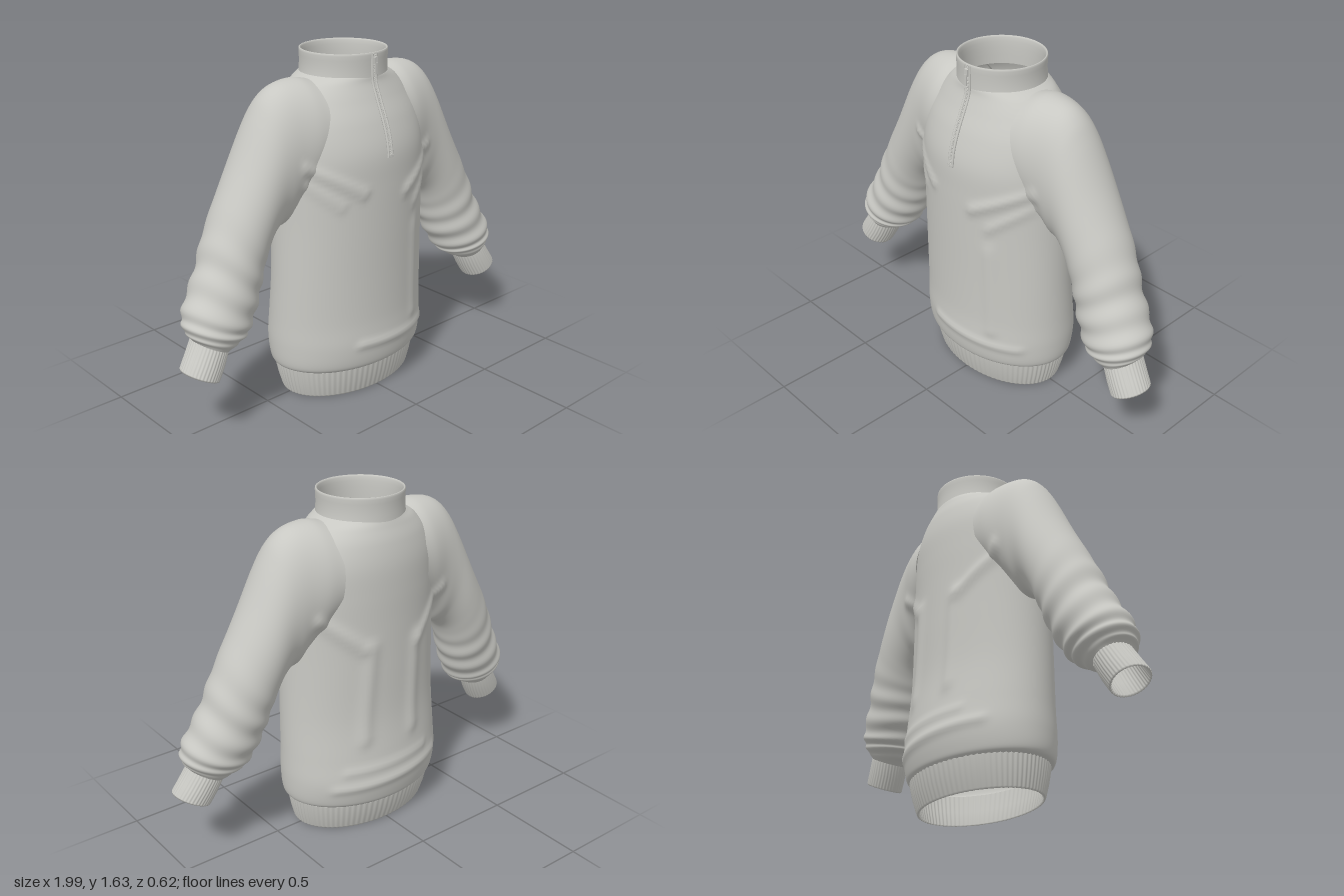
import * as THREE from 'three';
import { mergeGeometries } from 'three/addons/utils/BufferGeometryUtils.js';

const knit = new THREE.MeshStandardMaterial({ color: 0xc8c8c3, side: THREE.DoubleSide });
knit.name = 'greyKnit';

// Skin closed oval rings: [centre x, y, z, half-axis x, half-axis y, half-depth in z].
// steps = spline subdivisions between rings, swell(t, a) scales the ring locally.
function loft(rings, seg, steps, swell = () => 1) {
  const centres = new THREE.CatmullRomCurve3(rings.map(r => new THREE.Vector3(r[0], r[1], r[2])), false, 'catmullrom');
  const axes = new THREE.CatmullRomCurve3(rings.map(r => new THREE.Vector3(r[3], r[4], r[5])), false, 'catmullrom');
  const rows = (rings.length - 1) * steps, pos = [], idx = [];
  for (let i = 0; i <= rows; i++) {
    const c = centres.getPoint(i / rows), u = axes.getPoint(i / rows);
    for (let j = 0; j < seg; j++) {
      const a = j / seg * Math.PI * 2, s = swell(i / steps, a);
      const co = Math.cos(a) * s, si = Math.sin(a) * s;
      pos.push(c.x + u.x * co, c.y + u.y * co, c.z + u.z * si);
      if (i < rows) {
        const p = i * seg + j, q = i * seg + (j + 1) % seg;
        idx.push(p, p + seg, q, q, p + seg, q + seg);
      }
    }
  }
  const g = new THREE.BufferGeometry();
  g.setAttribute('position', new THREE.Float32BufferAttribute(pos, 3));
  g.setIndex(idx);
  g.computeVertexNormals();
  return g;
}

// Cloth folds: [front 1 / back -1, x1, y1, x2, y2, width, height]
const folds = [
  [1, -0.38, 1.17, -0.14, 1.03, 0.022, 0.013], [1, 0.38, 1.13, 0.12, 1.0, 0.025, 0.014],
  [1, 0.36, 1.04, 0.2, 0.92, 0.022, 0.01], [1, -0.36, 1.08, -0.24, 0.98, 0.02, 0.009],
  [1, 0.21, 0.35, 0.2, 0.8, 0.03, 0.009], [1, -0.15, 0.28, 0.33, 0.26, 0.02, 0.01],
  [-1, -0.36, 1.12, -0.16, 0.94, 0.028, 0.014], [-1, 0.36, 1.12, 0.16, 0.96, 0.028, 0.014],
  [-1, -0.14, 0.95, -0.12, 0.5, 0.035, 0.012], [-1, 0.12, 0.95, 0.16, 0.5, 0.035, 0.012],
  [-1, -0.3, 0.29, 0.3, 0.25, 0.022, 0.01], [-1, -0.2, 0.36, 0.25, 0.34, 0.02, 0.007],
];
function addFolds(g) {
  const p = g.attributes.position, v = new THREE.Vector3(), near = new THREE.Vector3();
  const line = new THREE.Line3();
  for (let i = 0; i < p.count; i++) {
    const z = p.getZ(i);
    let dz = 0;
    for (const [side, x1, y1, x2, y2, w, h] of folds) {
      if (side * z < 0.05) continue;
      line.start.set(x1, y1, 0);
      line.end.set(x2, y2, 0);
      v.set(p.getX(i), p.getY(i), 0);
      line.closestPointToPoint(v, true, near);
      dz += side * h * Math.exp(-((v.distanceTo(near) / w) ** 2));
    }
    p.setZ(i, z + dz);
  }
  g.computeVertexNormals();
  return g;
}

// Upright ring from height, half-width, front z and back z
const level = (y, w, front, back) => [0, y, (front + back) / 2, w, 0, (front - back) / 2];
const ribs = (n, depth) => (t, a) => 1 + depth * Math.cos(n * a);

export function createModel() {
  const model = new THREE.Group();
  model.name = 'sweater';
  const add = (name, geometry, parent = model) => {
    const m = new THREE.Mesh(geometry, knit);
    m.name = name;
    parent.add(m);
    return m;
  };

  // Torso, from the hem seam up to the neck seam
  add('torso', addFolds(loft([
    level(0.14, 0.39, 0.262, -0.265), level(0.17, 0.418, 0.288, -0.283), level(0.27, 0.426, 0.3, -0.3),
    level(0.4, 0.422, 0.294, -0.286), level(0.6, 0.415, 0.294, -0.266), level(0.85, 0.408, 0.298, -0.264),
    level(1.05, 0.405, 0.3, -0.265), level(1.2, 0.4, 0.296, -0.267), level(1.33, 0.38, 0.262, -0.264),
    level(1.43, 0.33, 0.22, -0.247), level(1.495, 0.27, 0.194, -0.225), level(1.525, 0.22, 0.188, -0.214),
    level(1.535, 0.2, 0.184, -0.21),
  ], 128, 8)));

  // Ribbed hem with an inner wall
  add('hemBand', loft([
    level(0.15, 0.392, 0.262, -0.265), level(0.14, 0.395, 0.265, -0.268), level(0.07, 0.382, 0.252, -0.25),
    level(0.008, 0.366, 0.236, -0.228), level(0, 0.36, 0.231, -0.223), level(0.004, 0.352, 0.223, -0.215),
    level(0.07, 0.365, 0.236, -0.234), level(0.15, 0.38, 0.25, -0.252),
  ].reverse(), 400, 1, ribs(80, 0.006)));

  // Stand-up collar, folded over at the top, with a raised neck seam
  add('collar', loft([
    level(1.505, 0.213, 0.19, -0.217), level(1.53, 0.206, 0.188, -0.215), level(1.58, 0.202, 0.188, -0.213),
    level(1.625, 0.204, 0.19, -0.215), level(1.635, 0.2, 0.186, -0.211), level(1.627, 0.193, 0.178, -0.204),
    level(1.58, 0.19, 0.175, -0.201), level(1.5, 0.192, 0.176, -0.203),
  ], 96, 2));

  // Sleeve sections: upper edge x, y, lower edge x, y, centre z, half-depth
  const sleeve = [
    [0.22, 1.52, 0.26, 1.04, -0.01, 0.205], [0.3, 1.534, 0.32, 0.99, -0.01, 0.198],
    [0.4, 1.52, 0.37, 0.93, -0.01, 0.18], [0.47, 1.475, 0.405, 0.885, -0.01, 0.172],
    [0.53, 1.385, 0.455, 0.868, -0.01, 0.168], [0.63, 1.19, 0.505, 0.82, -0.01, 0.168],
    [0.765, 0.945, 0.545, 0.72, -0.003, 0.163], [0.85, 0.76, 0.585, 0.6, 0.012, 0.158],
    [0.935, 0.61, 0.64, 0.495, 0.03, 0.154], [0.95, 0.53, 0.685, 0.452, 0.042, 0.135],
    [0.922, 0.48, 0.77, 0.405, 0.05, 0.095],
  ];
  const cuff = [
    [0.92, 0.49, 0.77, 0.42, 0.048, 0.09], [0.928, 0.473, 0.773, 0.402, 0.05, 0.095],
    [0.965, 0.415, 0.8, 0.343, 0.058, 0.094], [0.996, 0.368, 0.832, 0.29, 0.065, 0.093],
    [0.996, 0.36, 0.836, 0.284, 0.066, 0.089], [0.988, 0.362, 0.842, 0.293, 0.066, 0.081],
    [0.955, 0.415, 0.812, 0.35, 0.058, 0.083], [0.915, 0.48, 0.78, 0.42, 0.05, 0.083],
  ];
  // Gathers deepen from the elbow towards the cuff
  const gathers = (t, a) => {
    const k = THREE.MathUtils.smoothstep(t, 5.2, 7) * (1 - THREE.MathUtils.smoothstep(t, 9.2, 10));
    return 1 + 0.035 * k * Math.sin(t * 8 + 1.3 * Math.sin(a + 0.5) + 0.6 * Math.cos(2 * a));
  };
  for (const s of [1, -1]) {
    const arm = new THREE.Group();
    arm.name = s > 0 ? 'leftArm' : 'rightArm';
    model.add(arm);
    // The half-axis is flipped per side so that faces keep pointing outwards
    const toRing = ([tx, ty, bx, by, z, d]) =>
      [s * (tx + bx) / 2, (ty + by) / 2, z, (bx - tx) / 2, s * (by - ty) / 2, d];
    add('sleeve', addFolds(loft(sleeve.map(toRing), 72, 12, gathers)), arm);
    add('cuff', loft(cuff.map(toRing), 180, 1, ribs(36, 0.014)), arm);
  }

  // Quarter zip: two cords, interlocking teeth and a puller down the front
  const zip = new THREE.Group();
  zip.name = 'zip';
  model.add(zip);
  const zipPoints = [[1.63, 0.19], [1.57, 0.19], [1.5, 0.195], [1.43, 0.223], [1.33, 0.267], [1.25, 0.292], [1.185, 0.302]];
  const path = x => new THREE.CatmullRomCurve3(zipPoints.map(([y, z]) => new THREE.Vector3(x, y, z)));
  for (const s of [1, -1]) add('zipCord', new THREE.TubeGeometry(path(s * 0.011), 40, 0.006, 8), zip);
  const middle = path(0), teeth = [];
  for (let i = 0; i <= 56; i++) {
    const p = middle.getPointAt(i / 56), d = middle.getTangentAt(i / 56);
    teeth.push(new THREE.BoxGeometry(0.01, 0.004, 0.008).rotateX(Math.atan2(-d.z, -d.y))
      .translate((i % 2 ? 1 : -1) * 0.003, p.y, p.z + 0.003));
  }
  add('zipTeeth', mergeGeometries(teeth), zip);
  add('zipSlider', new THREE.BoxGeometry(0.02, 0.03, 0.012), zip).position.set(0, 1.6, 0.197);
  add('zipPuller', new THREE.BoxGeometry(0.01, 0.05, 0.005), zip).position.set(0, 1.565, 0.203);
  add('zipStop', new THREE.BoxGeometry(0.03, 0.012, 0.012), zip).position.set(0, 1.185, 0.302);
  return model;
}
